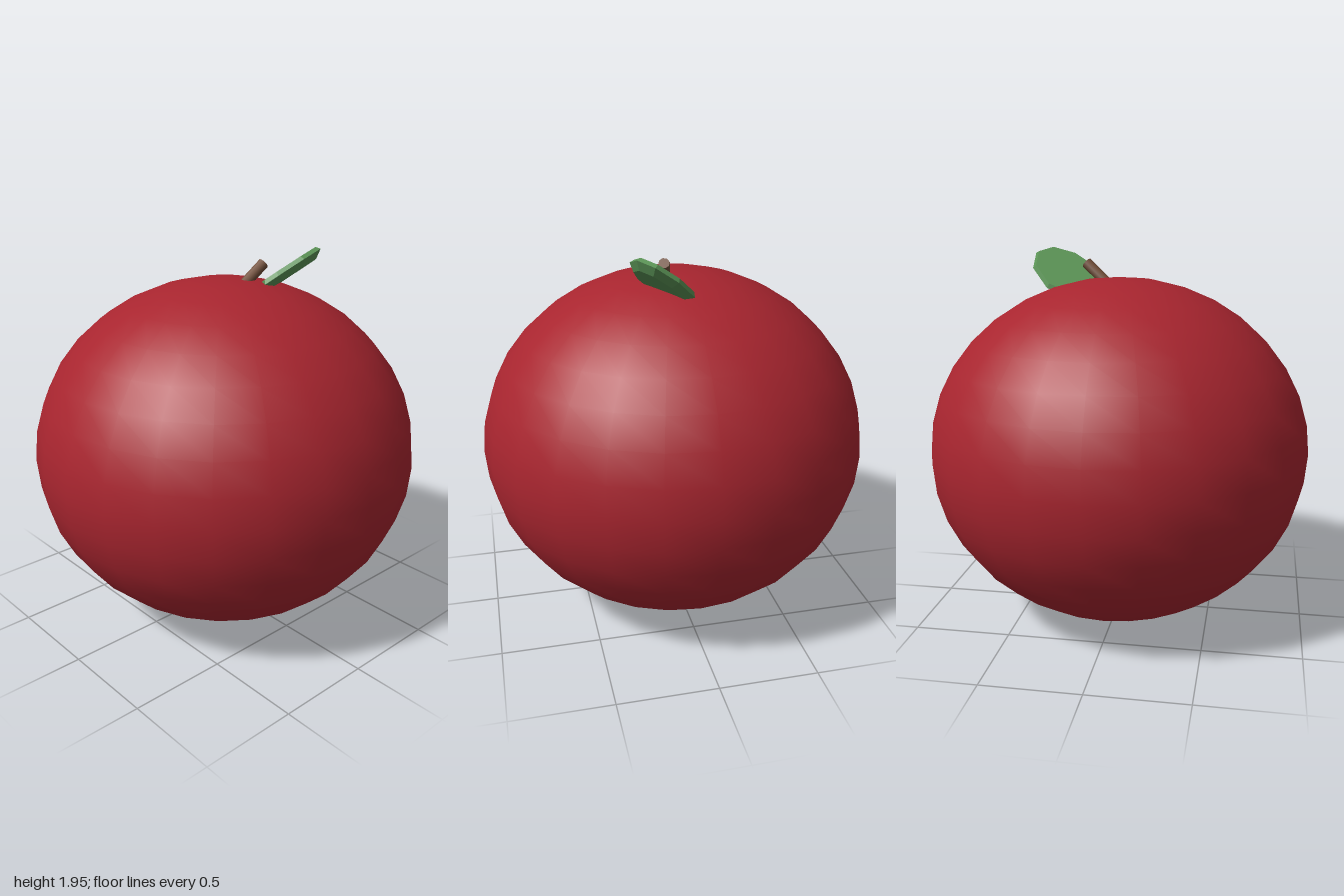
import * as THREE from 'three';

const red = new THREE.MeshStandardMaterial({ color: 0xa8252f });
red.name = 'red skin';
const green = new THREE.MeshStandardMaterial({ color: 0x5a9255, flatShading: true });
green.name = 'leaf green';
const brown = new THREE.MeshStandardMaterial({ color: 0x74503a });
brown.name = 'stem brown';

// Closed lens-like leaf lofted through copies of one outline in a tilted plane
function leafGeometry() {
  const outline = [
    [0.12, 0.17], [0.16, 0.22], [0.29, 0.27], [0.42, 0.26], [0.49, 0.19],
    [0.48, 0.08], [0.38, -0.02], [0.26, -0.03], [0.16, 0.06],
  ];
  const normal = new THREE.Vector3(-0.32, 1, -0.65).normalize();
  const [cx, cz] = [0.31, 0.13];
  const plane = (x, z) => 1.79 + 0.32 * (x - 0.12) + 0.65 * (z - 0.17);
  const rings = [[0.78, -0.03], [1, 0], [0.92, 0.022]]; // scale, offset along normal
  const n = outline.length;
  const positions = [];
  const index = [];
  for (const [scale, offset] of rings) {
    for (const [px, pz] of outline) {
      const x = cx + (px - cx) * scale;
      const z = cz + (pz - cz) * scale;
      const p = new THREE.Vector3(x, plane(x, z), z).addScaledVector(normal, offset);
      positions.push(p.x, p.y, p.z);
    }
  }
  for (let r = 0; r < rings.length - 1; r++) {
    for (let i = 0; i < n; i++) {
      const a = r * n + i;
      const b = r * n + ((i + 1) % n);
      index.push(a, b, b + n, a, b + n, a + n);
    }
  }
  // Flat caps
  const top = (rings.length - 1) * n;
  for (let i = 1; i < n - 1; i++) {
    index.push(0, i + 1, i);
    index.push(top, top + i, top + i + 1);
  }
  const geometry = new THREE.BufferGeometry();
  geometry.setAttribute('position', new THREE.Float32BufferAttribute(positions, 3));
  geometry.setIndex(index);
  geometry.computeVertexNormals();
  return geometry;
}

export function createModel() {
  const model = new THREE.Group();
  model.name = 'fruit';

  // Slightly squashed round body
  const body = new THREE.Mesh(new THREE.SphereGeometry(1, 24, 18).scale(1, 0.905, 1), red);
  body.name = 'fruitBody';
  body.position.y = 0.905;
  model.add(body);

  // Short stem leaning to the left
  const base = new THREE.Vector3(0.07, 1.77, 0.055);
  const tip = new THREE.Vector3(0.19, 1.877, 0.085);
  const axis = tip.clone().sub(base);
  const stem = new THREE.Mesh(new THREE.CylinderGeometry(0.028, 0.028, axis.length(), 8), brown);
  stem.name = 'stem';
  stem.position.copy(base).add(tip).multiplyScalar(0.5);
  stem.quaternion.setFromUnitVectors(new THREE.Vector3(0, 1, 0), axis.normalize());
  model.add(stem);

  // Leaf, partly sunk into the body
  const leaf = new THREE.Mesh(leafGeometry(), green);
  leaf.name = 'leaf';
  model.add(leaf);

  return model;
}
